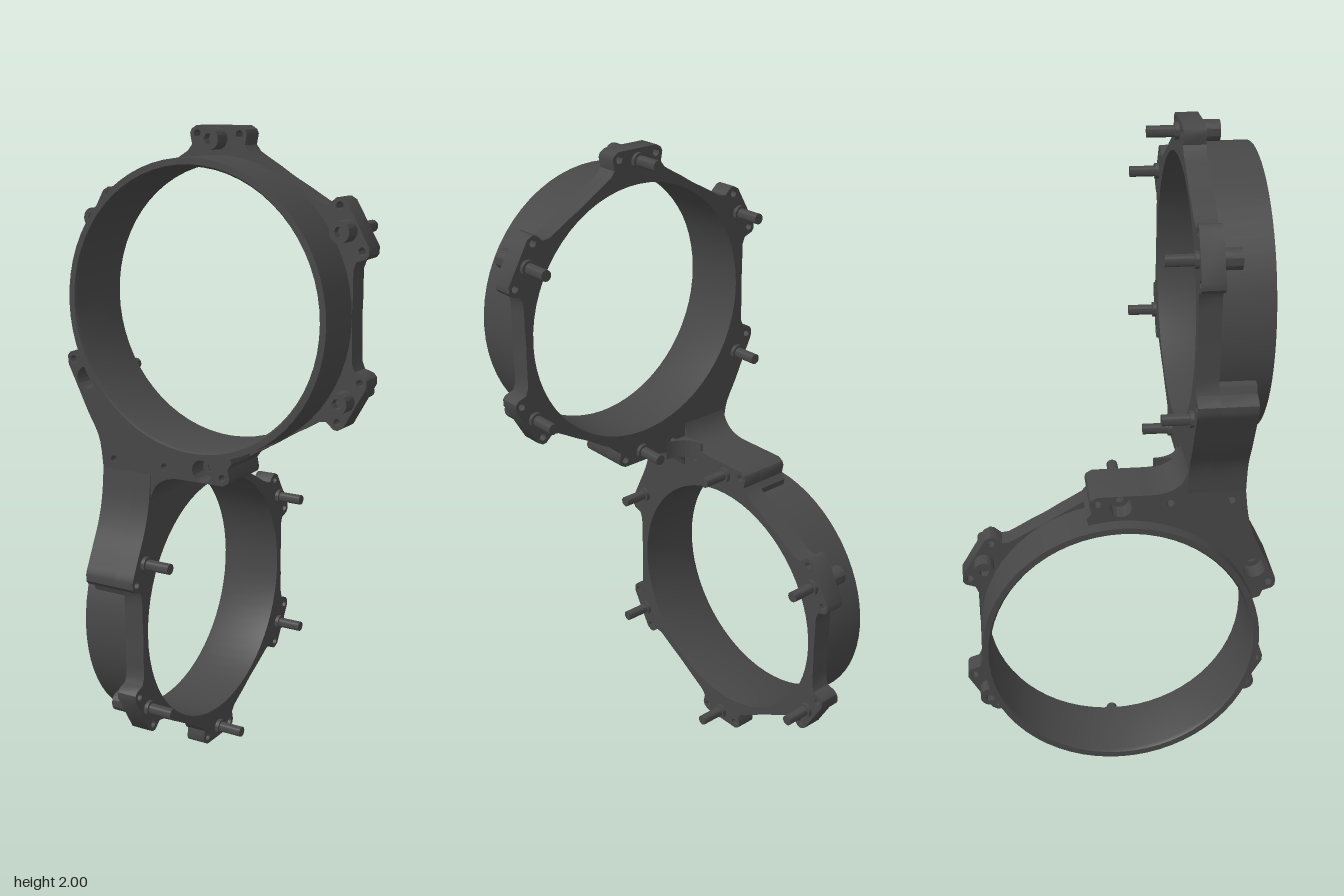
import * as THREE from 'three';
import { toCreasedNormals } from 'three/addons/utils/BufferGeometryUtils.js';

const darkGrey = new THREE.MeshStandardMaterial({ color: 0x474747 });
darkGrey.name = 'darkGrey';

const FLANGE = 0.065; // thickness of the bolting flange
const THICK = 0.17;   // thickness of the joining bracket
const BOLT_R = 0.465;

function add(parent, name, geo, z = 0) {
  const m = new THREE.Mesh(toCreasedNormals(geo, 0.6), darkGrey);
  m.name = name;
  m.position.z = z;
  parent.add(m);
  return m;
}

function extrude(shape, depth) {
  return new THREE.ExtrudeGeometry(shape, { depth, bevelEnabled: false, curveSegments: 48 });
}

function circle(x, y, r) {
  return new THREE.Path().absarc(x, y, r, 0, Math.PI * 2, true);
}

// Point on a tab at a given angle: t along the rim, r outward
function tabPoint(deg, t, r) {
  const a = THREE.MathUtils.degToRad(deg), c = Math.cos(a), s = Math.sin(a);
  return new THREE.Vector2(c * r - s * t, s * r + c * t);
}

// Half outline of a tab, from the rim to its outer corner
const HALF = [[0.2, 0.37], [0.165, 0.392], [0.13, 0.412], [0.1, 0.43], [0.086, 0.448], [0.092, 0.478], [0.087, 0.49], [0.07, 0.5]];
const tabStart = (deg, from = 0) => HALF.slice(from).map(([t, r]) => tabPoint(deg, -t, r));
const tabEnd = (deg, to = HALF.length) => HALF.slice(0, to).reverse().map(([t, r]) => tabPoint(deg, t, r));

// Outer edge of the neck between the 210 and 270 degree tabs
function neckEdge(inner) {
  const outer = -inner - THICK;
  const left = new THREE.SplineCurve([
    new THREE.Vector2(-0.465, -0.2), new THREE.Vector2(-0.435, -0.262), new THREE.Vector2(-0.4, -0.335),
    new THREE.Vector2(outer - 0.012, -0.41), new THREE.Vector2(outer, -0.5)]).getPoints(14);
  const right = new THREE.QuadraticBezierCurve(
    new THREE.Vector2(-inner, -0.575), new THREE.Vector2(-inner + 0.015, -0.5), new THREE.Vector2(-inner + 0.11, -0.5)).getPoints(10);
  return [...left, new THREE.Vector2(-inner - 0.02, -0.5), ...right];
}

// Socket-head bolt pointing backward from the flange face
function bolt(parent, p, back) {
  const g = new THREE.Group();
  g.name = 'bolt';
  g.position.set(p.x, p.y, back);
  parent.add(g);
  const rod = (name, r, z0, z1) =>
    add(g, name, new THREE.CylinderGeometry(r, r, z1 - z0, 24).rotateX(Math.PI / 2), (z0 + z1) / 2);
  rod('boltShaft', 0.0165, -0.09, 0.01);
  rod('boltCollar', 0.024, -0.012, 0.005);
  rod('boltHeadBase', 0.03, FLANGE - 0.005, FLANGE + 0.025);
  const head = new THREE.Shape().absarc(0, 0, 0.03, 0, Math.PI * 2);
  const hex = [];
  for (let i = 0; i < 6; i++) hex.push(new THREE.Vector2(0.016 * Math.cos(i * Math.PI / 3), 0.016 * Math.sin(i * Math.PI / 3)));
  head.holes.push(new THREE.Path(hex));
  add(g, 'boltHeadSocket', extrude(head, 0.025), FLANGE + 0.025);
}

// Clamp ring with flange, tabs, bolts and half of the joining bracket
function clampRing(name, back, inner) {
  const g = new THREE.Group();
  g.name = name;

  // Thin cylindrical wall with a slight bevel on its front lip
  const wall = [[0.396, 0], [0.42, 0], [0.42, 0.215], [0.402, 0.215], [0.396, 0.205], [0.396, 0]]
    .map(([r, y]) => new THREE.Vector2(r, y));
  add(g, 'ringWall', new THREE.LatheGeometry(wall, 64).rotateX(Math.PI / 2), back);

  // Flange with six tabs, two of them merged into the neck
  const outline = tabEnd(270);
  for (const deg of [330, 30, 90, 150]) outline.push(...tabStart(deg), ...tabEnd(deg));
  outline.push(...tabStart(210), ...neckEdge(inner));
  const flange = new THREE.Shape(outline);
  flange.holes.push(circle(0, 0, 0.406));

  // Thick bracket pad between the two merged tabs
  const padOutline = [...tabStart(210, 3), ...neckEdge(inner), ...tabEnd(270, HALF.length).slice(0, 5)];
  for (let i = 0; i <= 24; i++) padOutline.push(tabPoint(283 - i * 86 / 24, 0, 0.408));
  const pad = new THREE.Shape(padOutline);

  // Small ear and neck holes, and counterbores around the recessed bolts
  for (const deg of [30, 90, 150, 210, 270, 330]) {
    for (const side of [-1, 1]) {
      if ((deg === 210 && side > 0) || (deg === 270 && side < 0)) continue;
      const p = tabPoint(deg, side * 0.068, 0.477);
      flange.holes.push(circle(p.x, p.y, 0.011));
      if (deg === 210 || deg === 270) pad.holes.push(circle(p.x, p.y, 0.011));
    }
    const c = tabPoint(deg, 0, BOLT_R);
    if (deg === 210 || deg === 270) pad.holes.push(circle(c.x, c.y, 0.033));
    bolt(g, c, back);
  }
  for (const x of [-inner - 0.13, -inner + 0.05]) {
    flange.holes.push(circle(x, -0.47, 0.011));
    pad.holes.push(circle(x, -0.47, 0.011));
  }
  add(g, 'flange', extrude(flange, FLANGE), back);
  add(g, 'bracketPad', extrude(pad, THICK - FLANGE), back + FLANGE);
  return g;
}

export function createModel() {
  const model = new THREE.Group();
  model.name = 'doubleRingClamp';

  const upper = clampRing('upperRing', 0.195, 0.18);
  upper.position.y = 1.5;

  // Lower ring is the upper one turned half round a diagonal axis
  const lower = clampRing('lowerRing', 0.18, 0.195);
  lower.quaternion.setFromAxisAngle(new THREE.Vector3(1, 0, -1).normalize(), Math.PI);
  lower.position.y = 0.5;
  model.add(upper, lower);

  // Concave fillet in the inside corner of the neck
  const corner = new THREE.Shape();
  corner.moveTo(-0.185, -0.2);
  corner.lineTo(-0.1, -0.2);
  corner.lineTo(-0.1, -0.195);
  corner.quadraticCurveTo(-0.175, -0.19, -0.18, -0.115);
  corner.lineTo(-0.185, -0.115);
  const fillet = add(model, 'neckFillet', extrude(corner, 0.06).rotateX(-Math.PI / 2));
  fillet.position.y = 0.97;
  return model;
}
